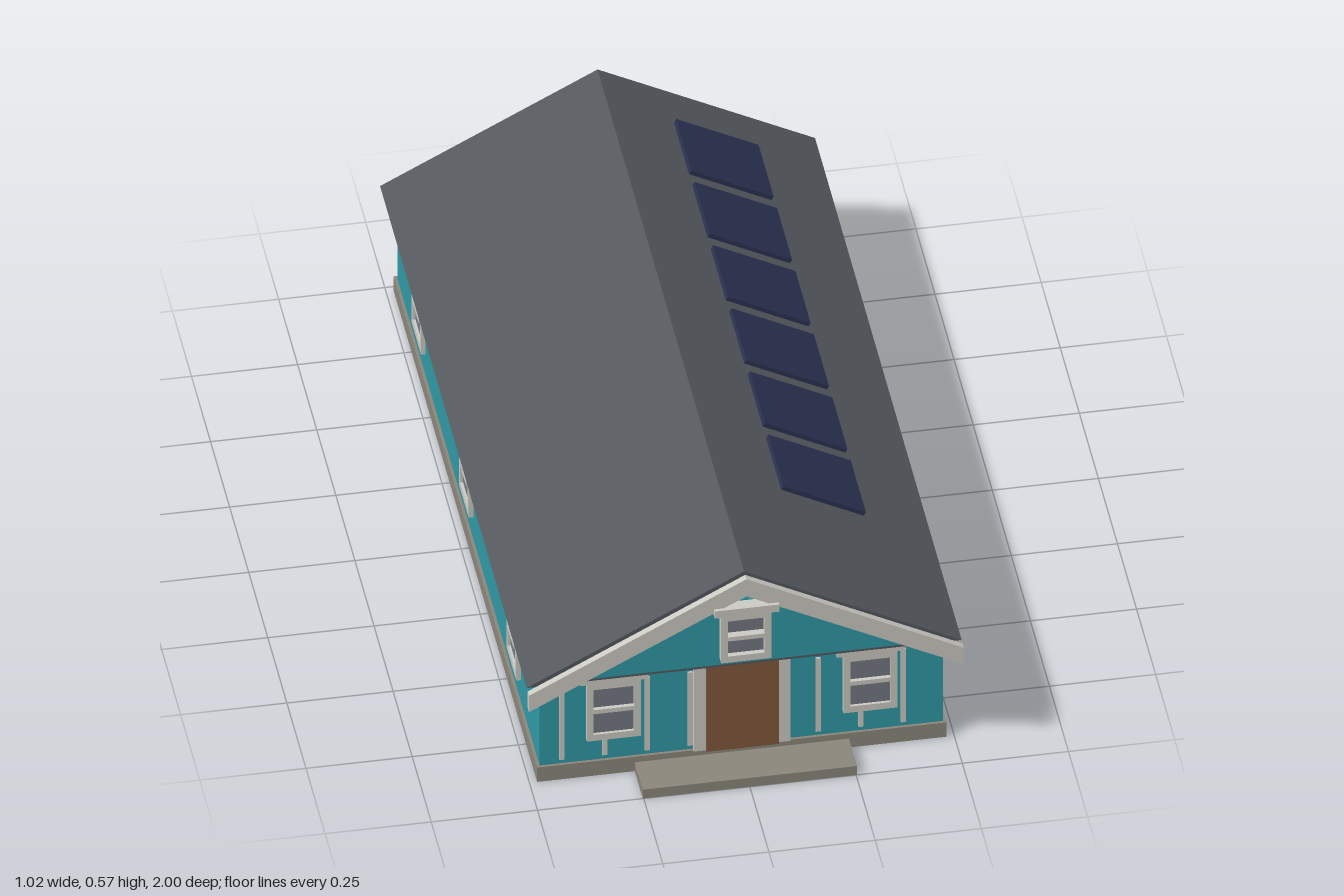
import * as THREE from 'three';

const mat = (name, color) => {
  const m = new THREE.MeshStandardMaterial({ color });
  m.name = name;
  return m;
};

export function createModel() {
  const house = new THREE.Group();
  house.name = 'house';

  const teal = mat('teal siding', 0x2f98a5);
  const trim = mat('off-white trim', 0xcac9c2);
  const slate = mat('slate roof', 0x53575c);
  const stone = mat('stone base', 0x8b867b);
  const wood = mat('brown door', 0x81583b);
  const glass = mat('grey glass', 0x747783);
  const navy = mat('navy panel', 0x2a3150);

  const add = (parent, name, geometry, material) => {
    const mesh = new THREE.Mesh(geometry, material);
    mesh.name = name;
    parent.add(mesh);
    return mesh;
  };
  // Box given by its minimum and maximum corners
  const box = (parent, name, material, [x0, y0, z0], [x1, y1, z1]) => {
    const mesh = add(parent, name, new THREE.BoxGeometry(x1 - x0, y1 - y0, z1 - z0), material);
    mesh.position.set((x0 + x1) / 2, (y0 + y1) / 2, (z0 + z1) / 2);
    return mesh;
  };
  const outline = (pts) => new THREE.Shape(pts.map(([x, y]) => new THREE.Vector2(x, y)));
  // Flat outline in x and y, extruded from z0 to z1
  const slab = (parent, name, material, pts, z0, z1) => {
    const geometry = new THREE.ExtrudeGeometry(outline(pts), { depth: z1 - z0, bevelEnabled: false });
    geometry.translate(0, 0, z0);
    return add(parent, name, geometry, material);
  };
  const rect = (x0, y0, x1, y1) => [[x0, y0], [x1, y0], [x1, y1], [x0, y1]];

  // Base, step and walls
  box(house, 'foundation', stone, [-0.482, 0, -0.985], [0.482, 0.042, 0.895]);
  box(house, 'frontStep', stone, [-0.252, 0, 0.895], [0.252, 0.026, 1]);
  box(house, 'walls', teal, [-0.475, 0.042, -0.975], [0.475, 0.303, 0.888]);

  // Roof, front gable and bargeboard
  slab(house, 'roof', slate, [[-0.512, 0.303], [0.512, 0.303], [0, 0.575]], -0.996, 0.925);
  slab(house, 'gableSiding', teal, [[-0.405, 0.315], [0.405, 0.315], [0, 0.503]], 0.925, 0.933);
  slab(house, 'bargeboard', trim, [
    [-0.512, 0.255], [0, 0.525], [0.512, 0.255], [0.512, 0.303], [0, 0.575], [-0.512, 0.303],
  ], 0.938, 0.955);

  // Door with its casing
  box(house, 'doorCasing', trim, [-0.114, 0.042, 0.888], [0.114, 0.302, 0.9]);
  box(house, 'door', wood, [-0.085, 0.042, 0.9], [0.085, 0.295, 0.906]);

  // Battens on the front wall, short ones under the windows
  for (const x of [-0.423, -0.322, -0.222, -0.121, 0.18, 0.281, 0.381]) {
    const top = Math.abs(Math.abs(x) - 0.302) < 0.04 ? 0.107 : 0.27;
    box(house, 'batten', trim, [x - 0.006, 0.055, 0.888], [x + 0.006, top, 0.893]);
  }

  // Two-pane window facing local +z, its bottom at the local origin
  const addWindow = (name, x, y, z, turn, w = 0.127, h = 0.17) => {
    const win = new THREE.Group();
    win.name = name;
    const a = w / 2, g = a - 0.016;
    const frame = outline(rect(-a, 0, a, h));
    const mid = h * 0.51;
    for (const [y0, y1] of [[0.018, mid - 0.006], [mid + 0.006, h - 0.021]]) {
      frame.holes.push(new THREE.Path(rect(-g, y0, g, y1).reverse().map(([px, py]) => new THREE.Vector2(px, py))));
    }
    add(win, 'windowFrame', new THREE.ExtrudeGeometry(frame, { depth: 0.011, bevelEnabled: false }), trim);
    box(win, 'windowPanes', glass, [-a + 0.004, 0.004, 0], [a - 0.004, h - 0.004, 0.004]);
    box(win, 'windowMuntin', trim, [-g, mid - 0.006, 0.004], [g, mid + 0.006, 0.014]);
    box(win, 'windowHeader', trim, [-a - 0.017, h, 0], [a + 0.017, h + 0.021, 0.017]);
    win.position.set(x, y, z);
    win.rotation.y = turn;
    house.add(win);
    return win;
  };
  for (const s of [-1, 1]) {
    addWindow('frontWindow', s * 0.302, 0.105, 0.888, 0);
    addWindow('backWindow', s * 0.25, 0.105, -0.975, Math.PI);
    for (const z of [0.58, -0.043, -0.667]) addWindow('sideWindow', s * 0.475, 0.105, z, s * Math.PI / 2);
  }
  addWindow('gableWindow', 0, 0.334, 0.933, 0, 0.118, 0.142).scale.z = 1.8;

  // Solar panels standing just off the +x slope
  for (let i = 0; i < 6; i++) {
    const panel = add(house, 'solarPanel', new THREE.BoxGeometry(0.22, 0.011, 0.198), navy);
    panel.position.set(0.254, 0.46, 0.452 - i * 0.2415);
    panel.rotation.z = -Math.atan2(0.272, 0.512);
  }
  return house;
}
